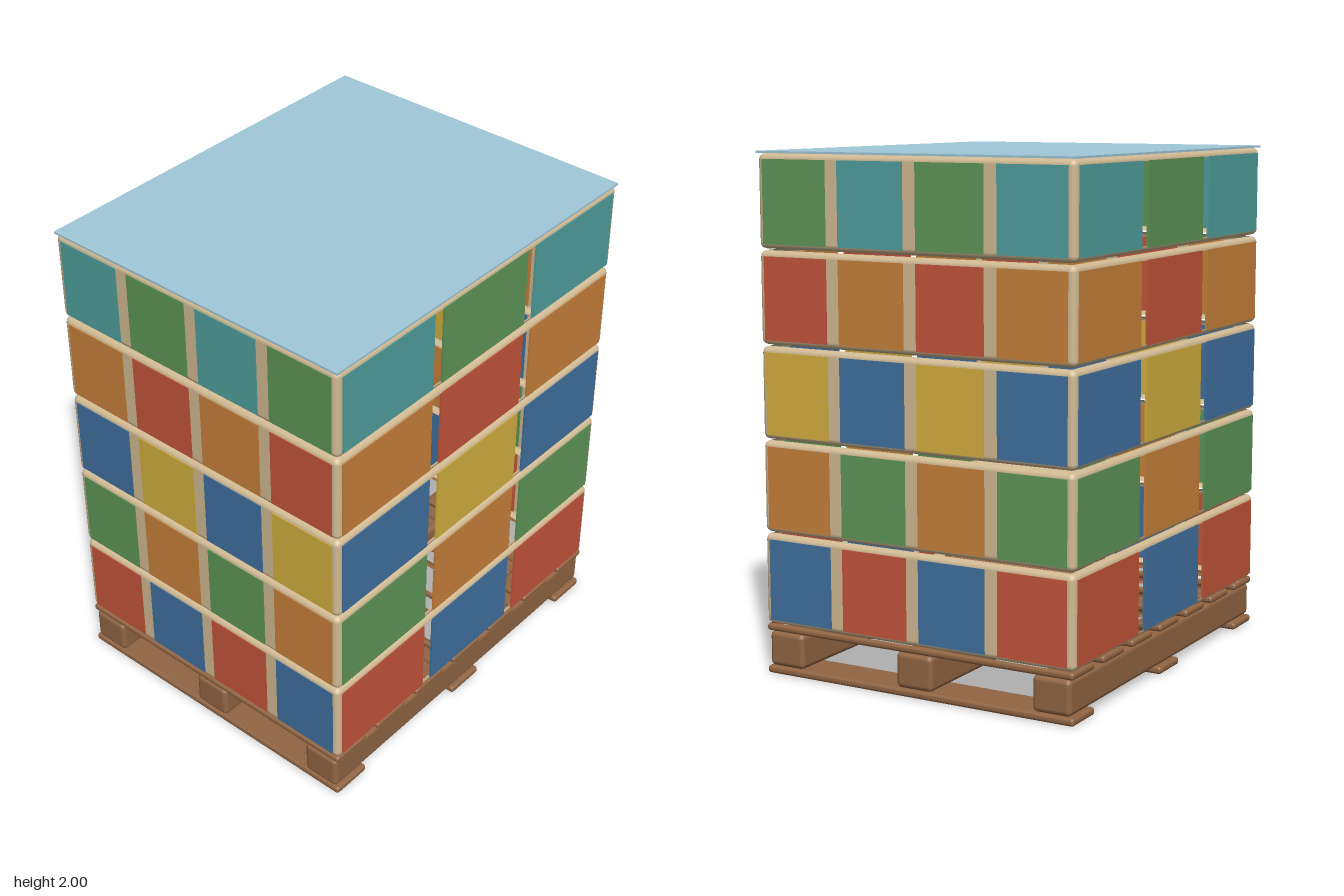
import * as THREE from 'three';
import { RoundedBoxGeometry } from 'three/addons/geometries/RoundedBoxGeometry.js';

const material = (name, color, side = THREE.FrontSide) => {
  const m = new THREE.MeshStandardMaterial({ color, side });
  m.name = name;
  return m;
};

// Rounded box; the broad faces along the axes in `open` (0 x, 1 y, 2 z) are left out
function roundedBox(w, h, d, r, open = []) {
  const geo = new RoundedBoxGeometry(w, h, d, 2, r);
  if (!open.length) return geo;
  const flat = geo.index ? geo.toNonIndexed() : geo;
  const p = flat.attributes.position, n = flat.attributes.normal;
  const pos = [], nor = [];
  for (let i = 0; i < p.count; i += 3) {
    const spans = [0, 1, 2].map((a) => {
      const v = [0, 1, 2].map((k) => p.getComponent(i + k, a));
      return Math.max(...v) - Math.min(...v);
    });
    const isOpen = open.some((a) => spans.every((s, b) => (a === b ? s < r * 0.5 : s > r * 1.2)));
    if (isOpen) continue;
    for (let k = 0; k < 3; k++) for (let a = 0; a < 3; a++) {
      pos.push(p.getComponent(i + k, a));
      nor.push(n.getComponent(i + k, a));
    }
  }
  const out = new THREE.BufferGeometry();
  out.setAttribute('position', new THREE.Float32BufferAttribute(pos, 3));
  out.setAttribute('normal', new THREE.Float32BufferAttribute(nor, 3));
  return out;
}

export function createModel() {
  const model = new THREE.Group();
  model.name = 'palletStack';

  const wood = material('wood', 0x916543, THREE.DoubleSide);
  const board = material('cardboard', 0xd2bb94, THREE.DoubleSide);
  const film = material('paleBlue', 0xa0c8d9);
  const red = material('red', 0xc4553a);
  const blue = material('blue', 0x4171a0);
  const green = material('green', 0x5f9658);
  const orange = material('orange', 0xc8813a);
  const yellow = material('yellow', 0xd4b040);
  const teal = material('teal', 0x50a09d);

  const add = (parent, name, geo, mat, x, y, z) => {
    const mesh = new THREE.Mesh(geo, mat);
    mesh.name = name;
    mesh.position.set(x, y, z);
    parent.add(mesh);
  };

  // Pallet: bottom boards, stringers and top boards
  const pallet = new THREE.Group();
  pallet.name = 'pallet';
  model.add(pallet);
  const bottomGeo = roundedBox(0.17, 0.03, 1.335, 0.012);
  const stringerGeo = roundedBox(1.6, 0.137, 0.157, 0.02);
  const topGeo = roundedBox(0.17, 0.028, 1.335, 0.012, [1]);
  for (const i of [-1, 0, 1]) {
    add(pallet, 'bottomBoard', bottomGeo, wood, i * 0.715, 0.016, 0);
    add(pallet, 'stringer', stringerGeo, wood, 0, 0.101, i * 0.577);
  }
  for (let i = -3; i <= 3; i++) add(pallet, 'topBoard', topGeo, wood, i * 0.2383, 0.184, 0);

  // Five layers of cartons: an open rounded frame with coloured panels on four sides
  const layers = [[red, blue], [green, orange], [blue, yellow], [orange, red], [teal, green]];
  const frameGeo = roundedBox(1.6, 0.354, 1.338, 0.024, [1, 2]);
  const frontGeo = new THREE.BoxGeometry(0.482, 0.315, 0.008);
  const sideGeo = new THREE.BoxGeometry(0.008, 0.315, 0.281);
  layers.forEach(([outer, inner], i) => {
    const layer = new THREE.Group();
    layer.name = 'cartonLayer';
    layer.position.y = 0.375 + i * 0.36;
    model.add(layer);
    add(layer, 'frame', frameGeo, board, 0, 0, 0);
    for (const s of [-1, 1]) {
      for (const c of [-1, 0, 1]) {
        add(layer, 'endPanel', frontGeo, c ? outer : inner, c * 0.533, -0.002, s * 0.668);
      }
      for (let c = 0; c < 4; c++) {
        add(layer, 'sidePanel', sideGeo, c % 2 ? outer : inner, s * 0.799, -0.002, 0.503 - c * 0.3345);
      }
    }
  });

  // Thin cover sheet
  add(model, 'coverSheet', new THREE.BoxGeometry(1.604, 0.008, 1.34), film, 0, 1.996, 0);
  return model;
}
